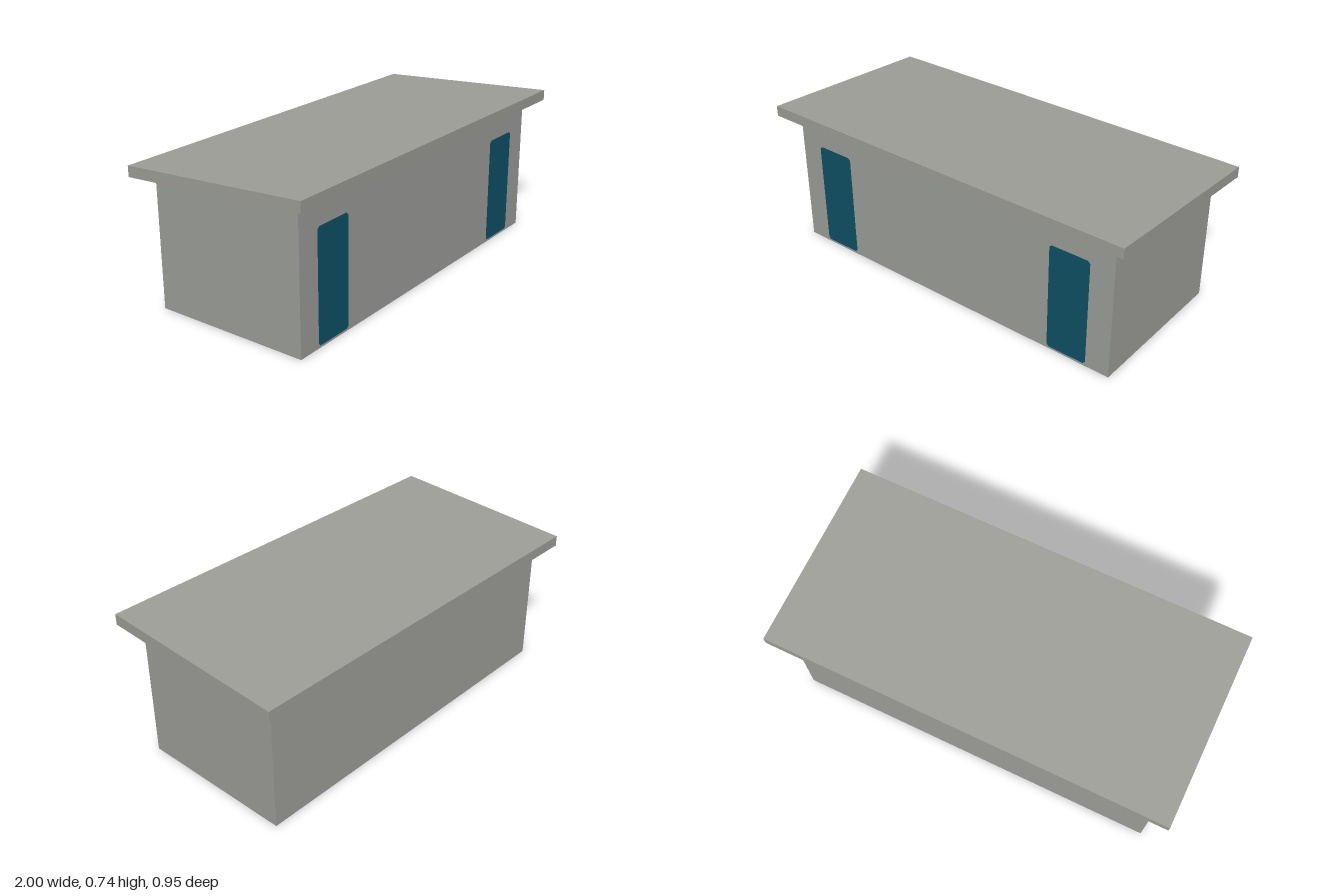
import * as THREE from 'three';

const HALF_W = 0.92, HALF_D = 0.393;           // wall footprint
const ROOF_W = 1, ROOF_D = 0.473, ROOF_T = 0.052;
const roofUnder = z => 0.657 + 0.055 * z;       // sloping underside of the roof

const polygon = pts => new THREE.Shape(pts.map(([x, y]) => new THREE.Vector2(x, y)));

// Upright panel with slightly clipped corners
function doorOutline(x0, x1, y0, y1, c = 0.012) {
  return [[x0 + c, y0], [x1 - c, y0], [x1, y0 + c], [x1, y1 - c],
    [x1 - c, y1], [x0 + c, y1], [x0, y1 - c], [x0, y0 + c]];
}

export function createModel() {
  const model = new THREE.Group();
  model.name = 'shed';

  const wallGrey = new THREE.MeshStandardMaterial({ color: 0x9c9e99, side: THREE.DoubleSide });
  wallGrey.name = 'wallGrey';
  const roofGrey = new THREE.MeshStandardMaterial({ color: 0x9d9e97 });
  roofGrey.name = 'roofGrey';
  const doorBlue = new THREE.MeshStandardMaterial({ color: 0x0d5064, side: THREE.DoubleSide });
  doorBlue.name = 'doorBlue';

  const add = (name, geometry, material) => {
    const mesh = new THREE.Mesh(geometry, material);
    mesh.name = name;
    model.add(mesh);
    return mesh;
  };

  const frontTop = roofUnder(HALF_D), backTop = roofUnder(-HALF_D);
  const wallRect = top => polygon([[-HALF_W, 0], [HALF_W, 0], [HALF_W, top], [-HALF_W, top]]);

  // Front wall with two door openings, each filled by a flush door
  const front = wallRect(frontTop);
  for (const [name, x0, x1] of [['rightDoor', -0.802, -0.596], ['leftDoor', 0.592, 0.799]]) {
    const outline = doorOutline(x0, x1, 0.01, 0.546);
    front.holes.push(polygon(outline));
    add(name, new THREE.ShapeGeometry(polygon(outline)), doorBlue).position.z = HALF_D;
  }
  add('frontWall', new THREE.ShapeGeometry(front), wallGrey).position.z = HALF_D;

  // Back wall, facing outwards
  add('backWall', new THREE.ShapeGeometry(wallRect(backTop)).rotateY(Math.PI), wallGrey)
    .position.z = -HALF_D;

  // Side walls follow the roof slope; the floor is open
  for (const side of [-1, 1]) {
    const s = -side;                            // local x runs along -side * z
    const shape = polygon([[-HALF_D, 0], [HALF_D, 0],
      [HALF_D, roofUnder(s * HALF_D)], [-HALF_D, roofUnder(-s * HALF_D)]]);
    add(side > 0 ? 'leftWall' : 'rightWall',
      new THREE.ShapeGeometry(shape).rotateY(side * Math.PI / 2), wallGrey)
      .position.x = side * HALF_W;
  }

  // Single-pitch roof slab: a box sheared along its depth
  const roof = new THREE.BoxGeometry(2 * ROOF_W, ROOF_T, 2 * ROOF_D);
  const p = roof.attributes.position;
  for (let i = 0; i < p.count; i++) {
    p.setY(i, p.getY(i) + ROOF_T / 2 + roofUnder(p.getZ(i)));
  }
  roof.computeVertexNormals();
  add('roof', roof, roofGrey);

  return model;
}
